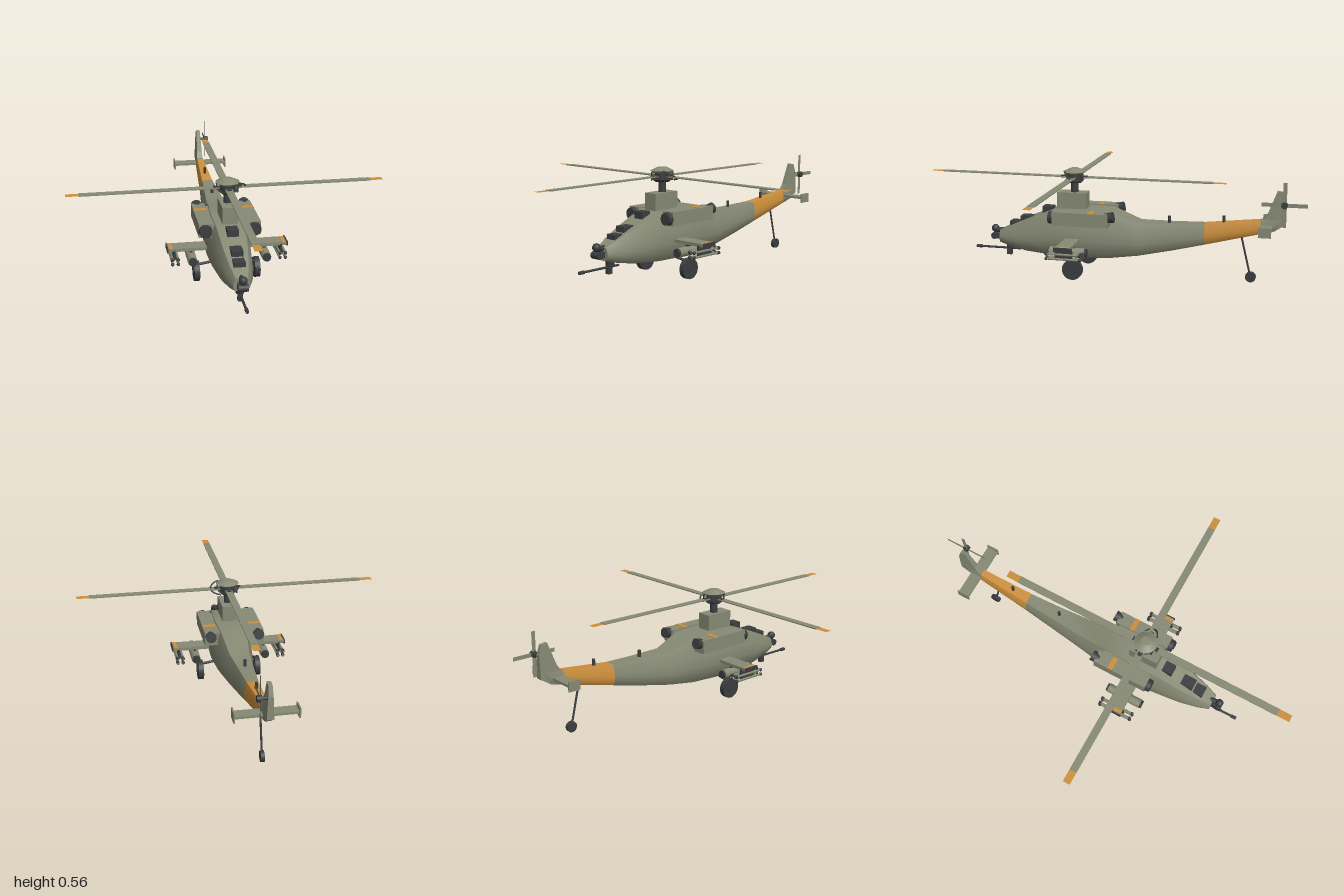
import * as THREE from 'three';
import { toCreasedNormals } from 'three/addons/utils/BufferGeometryUtils.js';

const mat = (name, color, side = THREE.FrontSide) => {
  const m = new THREE.MeshStandardMaterial({ color, side });
  m.name = name;
  return m;
};

export function createModel() {
  const olive = mat('olive paint', 0x868a74, THREE.DoubleSide);
  const orange = mat('orange paint', 0xcc8f3c, THREE.DoubleSide);
  const dark = mat('dark metal', 0x3c3d40);
  const model = new THREE.Group();
  model.name = 'helicopter';

  const add = (name, geo, material, x = 0, y = 0, z = 0, parent = model) => {
    const m = new THREE.Mesh(geo, material);
    m.name = name;
    m.position.set(x, y, z);
    parent.add(m);
    return m;
  };
  const box = (name, material, w, h, d, x, y, z, parent) =>
    add(name, new THREE.BoxGeometry(w, h, d), material, x, y, z, parent);
  const disc = (r1, r2, h, n = 20) => new THREE.CylinderGeometry(r1, r2, h, n);
  const alongZ = (r1, r2, h, n = 20) => disc(r1, r2, h, n).rotateX(Math.PI / 2);
  const alongX = (r1, r2, h, n = 20) => disc(r1, r2, h, n).rotateZ(Math.PI / 2);
  const rod = (name, a, b, r, material, parent) => {
    const p = new THREE.Vector3(...a), q = new THREE.Vector3(...b);
    const m = add(name, disc(r, r, p.distanceTo(q), 10), material, 0, 0, 0, parent);
    m.position.copy(p).add(q).multiplyScalar(0.5);
    m.quaternion.setFromUnitVectors(new THREE.Vector3(0, 1, 0), q.sub(p).normalize());
    return m;
  };

  // Fuselage skin lofted from rings: [z, bottom, top, half width]
  const loft = (stations) => {
    const pos = [], idx = [];
    const half = [[0.66, 0], [0.88, 0.14], [1, 0.36], [0.93, 0.6], [0.8, 0.86], [0.68, 1]];
    const ring = [...half, ...half.map(([u, v]) => [-u, v]).reverse()];
    const n = ring.length, last = (stations.length - 1) * n;
    for (const [z, b, t, w] of stations)
      for (const [u, v] of ring) pos.push(u * w, b + v * (t - b), z);
    for (let i = 0; i < stations.length - 1; i++)
      for (let j = 0; j < n; j++) {
        const a = i * n + j, b = i * n + (j + 1) % n;
        idx.push(a, a + n, b, b, a + n, b + n);
      }
    for (let j = 1; j < n - 1; j++) idx.push(0, j, j + 1, last, last + j + 1, last + j);
    const g = new THREE.BufferGeometry();
    g.setAttribute('position', new THREE.Float32BufferAttribute(pos, 3));
    g.setIndex(idx);
    return toCreasedNormals(g, 0.6);
  };
  const bandFront = [-0.49, 0.193, 0.3, 0.042], bandBack = [-0.77, 0.263, 0.335, 0.025];
  add('fuselage', loft([
    [0.61, 0.14, 0.205, 0.042], [0.55, 0.125, 0.235, 0.064], [0.45, 0.108, 0.28, 0.086],
    [0.29, 0.097, 0.344, 0.106], [0.15, 0.096, 0.347, 0.112], [0, 0.1, 0.346, 0.1],
    [-0.15, 0.118, 0.29, 0.075], [-0.32, 0.153, 0.293, 0.057], bandFront]), olive);
  add('tailBand', loft([bandFront, bandBack]), orange);
  add('tailEnd', loft([bandBack, [-0.84, 0.28, 0.345, 0.021], [-0.893, 0.315, 0.4, 0.014]]), olive);

  // Tail fin, tapering toward its top
  const fin = new THREE.Shape([[-0.77, 0.32], [-0.805, 0.37], [-0.848, 0.485], [-0.88, 0.48],
    [-0.895, 0.43], [-0.895, 0.315], [-0.83, 0.28]].map(([z, y]) => new THREE.Vector2(z, y)));
  const finGeo = new THREE.ExtrudeGeometry(fin, { depth: 0.036, bevelEnabled: false });
  finGeo.translate(0, 0, -0.018).rotateY(-Math.PI / 2);
  const fp = finGeo.attributes.position;
  for (let i = 0; i < fp.count; i++) fp.setX(i, fp.getX(i) * (1 - 2.6 * Math.max(0, fp.getY(i) - 0.3)));
  finGeo.computeVertexNormals();
  add('tailFin', finGeo, olive);

  // Stabiliser with end plates
  box('stabiliser', olive, 0.3, 0.012, 0.06, 0, 0.305, -0.802);
  for (const s of [-1, 1]) box('stabiliserEndPlate', olive, 0.007, 0.05, 0.064, s * 0.15, 0.303, -0.802);

  // Tail rotor on the left side of the fin
  const tailRotor = new THREE.Group();
  tailRotor.name = 'tailRotor';
  tailRotor.position.set(0, 0.423, -0.887);
  model.add(tailRotor);
  add('tailRotorShaft', alongX(0.008, 0.008, 0.04), dark, 0.025, 0, 0, tailRotor);
  add('tailRotorHub', alongX(0.016, 0.016, 0.024), dark, 0.05, 0, 0, tailRotor);
  for (let i = 0; i < 4; i++) {
    const blade = new THREE.PlaneGeometry(0.102, 0.02).translate(0.062, 0, 0);
    blade.rotateZ(i * Math.PI / 2).rotateY(Math.PI / 2);
    add('tailRotorBlade', blade, olive, 0.045, 0, 0, tailRotor);
  }

  // Main rotor
  box('mastHousing', olive, 0.076, 0.15, 0.155, 0, 0.355, 0.208);
  const rotor = new THREE.Group();
  rotor.name = 'mainRotor';
  rotor.position.set(0, 0.51, 0.2);
  model.add(rotor);
  add('mast', disc(0.019, 0.019, 0.1), dark, 0, -0.045, 0, rotor);
  add('swashPlate', disc(0.05, 0.036, 0.012), dark, 0, -0.022, 0, rotor);
  add('rotorHub', disc(0.036, 0.036, 0.036), dark, 0, 0, 0, rotor);
  add('rotorDish', disc(0.06, 0.045, 0.012), olive, 0, 0.022, 0, rotor);
  add('rotorCap', disc(0.034, 0.058, 0.013), olive, 0, 0.034, 0, rotor);
  add('rotorCapTop', disc(0.024, 0.034, 0.005), olive, 0, 0.043, 0, rotor);
  for (let i = 0; i < 4; i++) {
    const arm = new THREE.Group();
    arm.name = 'rotorBlade';
    arm.rotation.y = i * Math.PI / 2;
    rotor.add(arm);
    box('bladeGrip', dark, 0.05, 0.012, 0.022, 0.045, 0, 0, arm);
    box('blade', olive, 0.685, 0.005, 0.037, 0.3845, 0, 0, arm);
    add('bladeTip', new THREE.PlaneGeometry(0.066, 0.037).rotateX(-Math.PI / 2), orange, 0.76, 0, 0, arm);
    rod('pitchLink', [0.045, -0.022, 0.028], [0.052, 0.02, 0.022], 0.004, dark, arm);
  }
  const cable = new THREE.CatmullRomCurve3([[0.045, 0.03, 0.04], [0.075, 0.02, 0.025], [0.09, 0, 0],
    [0.075, -0.012, -0.03], [0.04, -0.02, -0.045]].map((p) => new THREE.Vector3(...p)));
  add('rotorCable', new THREE.TubeGeometry(cable, 16, 0.004, 6), dark, 0, 0, 0, rotor);

  // Canopy, roof sensor and spine antennas
  box('frontCanopy', dark, 0.058, 0.06, 0.055, 0, 0.228, 0.525);
  box('rearCanopy', dark, 0.058, 0.06, 0.07, 0, 0.26, 0.457);
  box('roofSensor', dark, 0.056, 0.04, 0.055, 0, 0.328, 0.342);
  add('frontAntenna', disc(0.008, 0.008, 0.045, 10), dark, 0, 0.305, -0.305);
  add('rearAntenna', disc(0.008, 0.008, 0.045, 10), dark, 0, 0.322, -0.585);

  // Nose sensors and gun
  add('upperSensor', new THREE.SphereGeometry(0.021, 18, 12), dark, 0, 0.208, 0.645);
  add('upperSensorMount', alongZ(0.014, 0.014, 0.05), dark, 0, 0.2, 0.615);
  add('lowerSensor', alongX(0.018, 0.018, 0.05), dark, 0, 0.17, 0.645);
  box('lowerSensorMount', dark, 0.04, 0.03, 0.04, 0, 0.17, 0.62);
  add('gunTurret', disc(0.026, 0.02, 0.04), dark, 0, 0.125, 0.56);
  box('gunBody', dark, 0.022, 0.05, 0.026, 0, 0.093, 0.567);
  add('gunBarrel', alongZ(0.006, 0.006, 0.25, 10), dark, 0, 0.102, 0.63);
  add('gunMuzzle', alongZ(0.009, 0.009, 0.03, 10), dark, 0, 0.102, 0.74);

  // Tail wheel
  add('tailWheel', alongX(0.027, 0.027, 0.018, 24), dark, 0, 0.031, -0.728);
  rod('tailWheelStrut', [0, 0.245, -0.675], [0, 0.035, -0.726], 0.005, dark);

  // Mirrored parts: engines, wings, weapons and main wheels
  for (const s of [-1, 1]) {
    const side = new THREE.Group();
    side.name = s > 0 ? 'leftSide' : 'rightSide';
    model.add(side);
    box('engine', olive, 0.068, 0.07, 0.295, s * 0.121, 0.315, 0.135, side);
    box('engineInboard', olive, 0.05, 0.06, 0.26, s * 0.075, 0.31, 0.14, side);
    box('engineStripe', orange, 0.069, 0.004, 0.026, s * 0.121, 0.35, 0.08, side);
    add('engineIntake', alongZ(0.031, 0.034, 0.025), dark, s * 0.123, 0.315, 0.293, side);
    const exhaust = add('engineExhaust', alongZ(0.024, 0.028, 0.06), dark, s * 0.125, 0.328, -0.008, side);
    exhaust.rotation.x = 0.2;

    box('wing', olive, 0.225, 0.016, 0.078, s * 0.193, 0.195, 0.185, side);
    box('wingTip', dark, 0.006, 0.022, 0.085, s * 0.305, 0.195, 0.185, side);
    box('wingStripe', orange, 0.018, 0.003, 0.078, s * 0.288, 0.203, 0.185, side);

    box('podPylon', dark, 0.012, 0.03, 0.07, s * 0.187, 0.18, 0.185, side);
    add('rocketPod', alongZ(0.024, 0.024, 0.185), olive, s * 0.187, 0.154, 0.19, side);
    for (const z of [0.093, 0.287])
      add('rocketPodCap', alongZ(0.021, 0.021, 0.012), dark, s * 0.187, 0.154, z, side);

    box('missileRack', dark, 0.01, 0.05, 0.09, s * 0.272, 0.168, 0.185, side);
    box('missileCrossbar', dark, 0.03, 0.008, 0.08, s * 0.272, 0.153, 0.185, side);
    for (const dx of [-0.014, 0.014])
      for (const dy of [-0.012, 0.012]) {
        const x = s * 0.272 + dx, y = 0.153 + dy;
        add('missile', alongZ(0.006, 0.006, 0.18, 10), olive, x, y, 0.18, side);
        add('missileNose', new THREE.SphereGeometry(0.009, 10, 8), dark, x, y, 0.272, side);
        add('missileTail', alongZ(0.009, 0.009, 0.014, 10), dark, x, y, 0.097, side);
      }

    add('mainWheel', alongX(0.053, 0.053, 0.028, 28), dark, s * 0.156, 0.053, 0.172, side);
    add('wheelHub', alongX(0.022, 0.022, 0.034), dark, s * 0.156, 0.053, 0.172, side);
    rod('wheelStrut', [s * 0.07, 0.1, 0.172], [s * 0.145, 0.088, 0.172], 0.007, dark, side);
  }
  return model;
}
